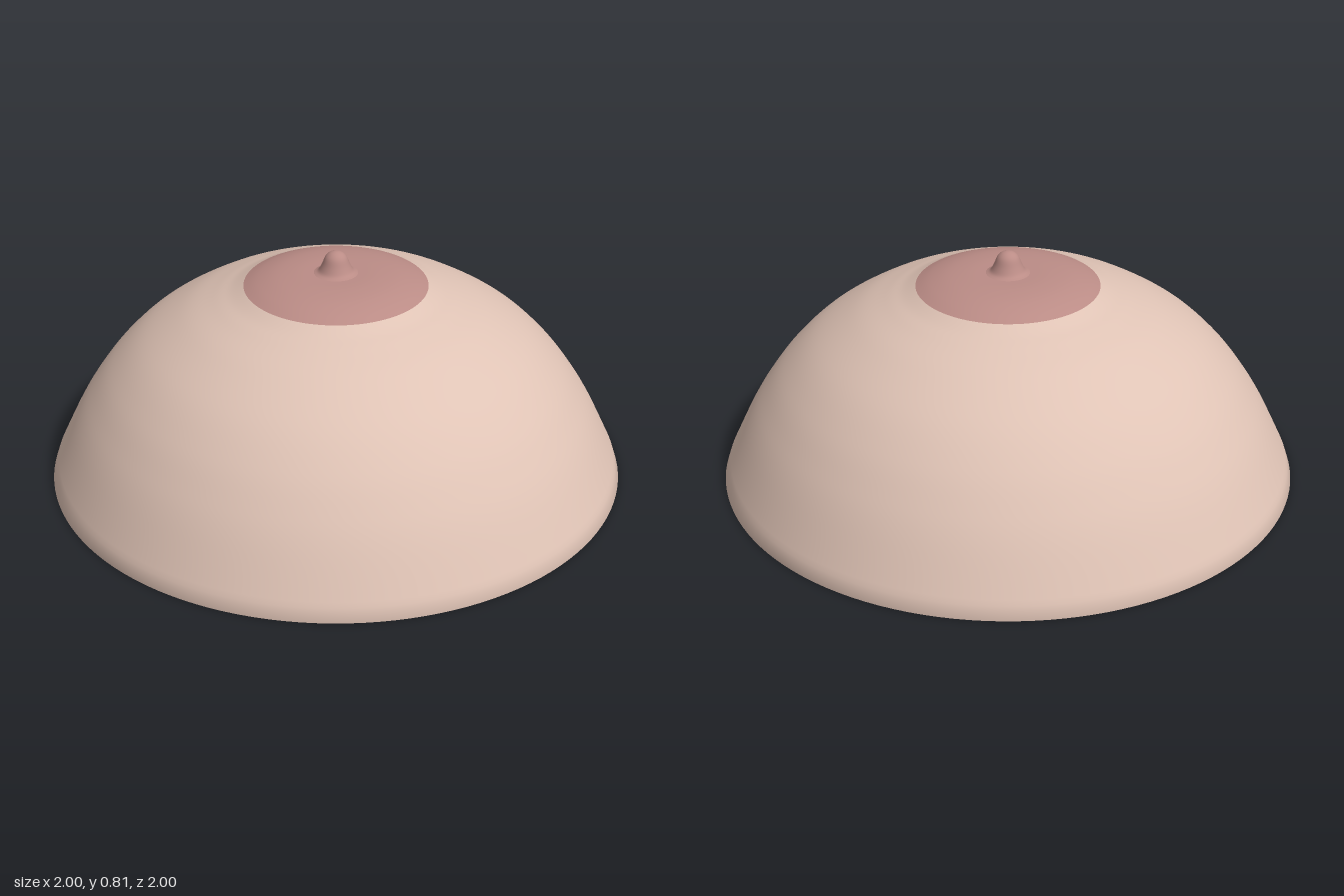
import * as THREE from 'three';

const skin = new THREE.MeshStandardMaterial({ color: 0xdfc3b5 });
skin.name = 'skin';
const rose = new THREE.MeshStandardMaterial({ color: 0xbb8c86 });
rose.name = 'rose';

// Smooth profile through [radius, height] points
function smooth(points, divisions) {
  const curve = new THREE.SplineCurve(points.map(([r, y]) => new THREE.Vector2(r, y)));
  return curve.getPoints(divisions).map((p) => new THREE.Vector2(Math.max(p.x, 0), p.y));
}

function turned(name, profile, material) {
  const mesh = new THREE.Mesh(new THREE.LatheGeometry(profile, 128), material);
  mesh.name = name;
  return mesh;
}

export function createModel() {
  const model = new THREE.Group();
  model.name = 'domeModel';

  // Dome with flat closed base; the rim shares normals with the base
  const side = smooth([
    [0.985, 0.045], [0.91, 0.2], [0.85, 0.3], [0.775, 0.4], [0.67, 0.502],
    [0.53, 0.592], [0.42, 0.641], [0.36, 0.664], [0.315, 0.686],
  ], 48);
  const base = [[0, 0], [0.985, 0], [1, 0]].map(([r, y]) => new THREE.Vector2(r, y));
  model.add(turned('dome', [...base, ...side], skin));

  // Raised disc on the crown
  model.add(turned('areola', smooth([
    [0.315, 0.686], [0.27, 0.705], [0.21, 0.721], [0.14, 0.729], [0.075, 0.73],
  ], 20), rose));

  // Central tip with flared foot and rounded top
  model.add(turned('tip', smooth([
    [0.075, 0.73], [0.06, 0.738], [0.048, 0.76], [0.037, 0.787],
    [0.024, 0.801], [0.01, 0.807], [0, 0.808],
  ], 24), rose));

  return model;
}
